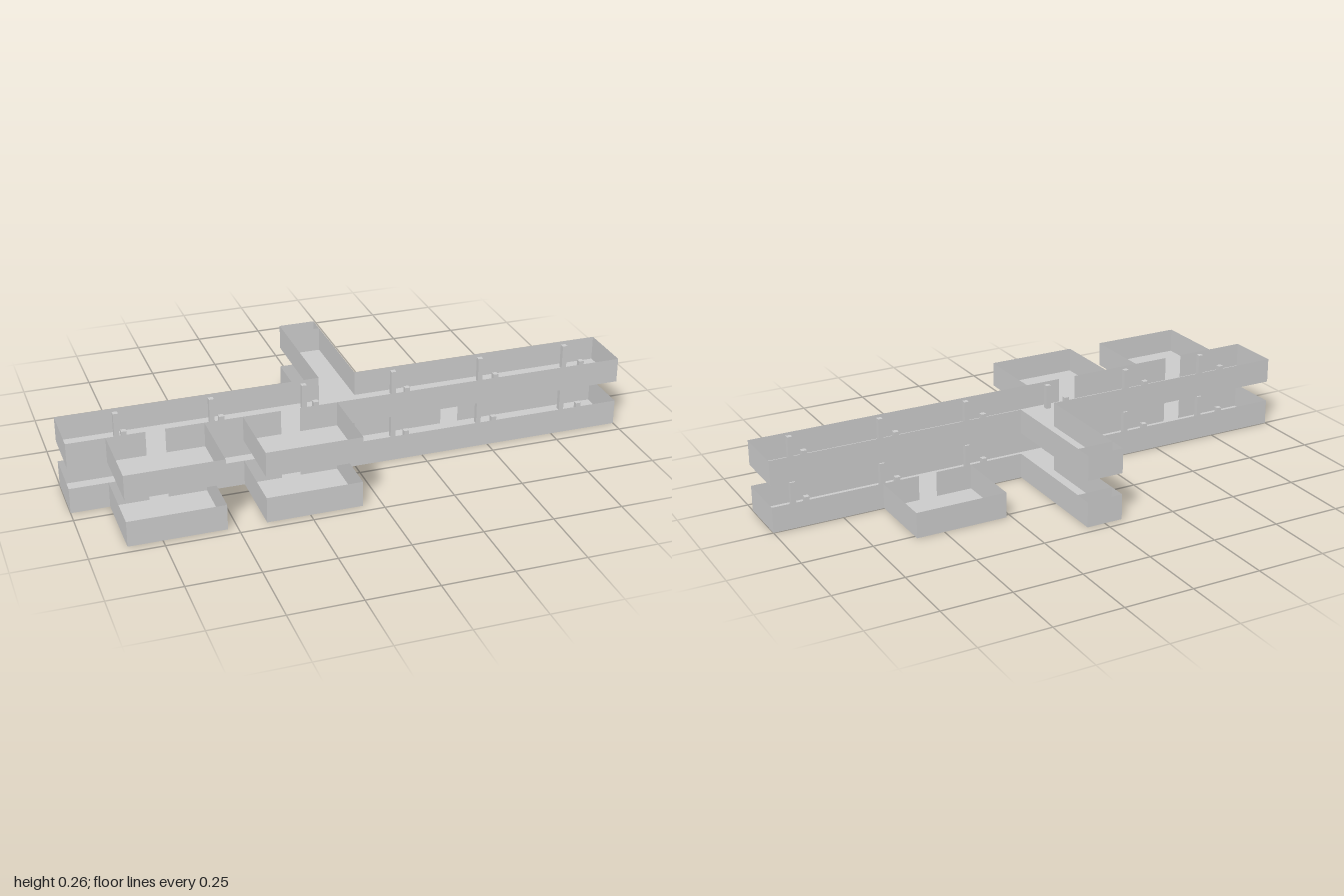
import * as THREE from 'three';

const U = 1 / 15; // plan grid unit
const concrete = new THREE.MeshStandardMaterial({ color: 0xcccccc, side: THREE.DoubleSide });
concrete.name = 'light grey concrete';

function add(group, name, geometry, x, y, z) {
  const mesh = new THREE.Mesh(geometry, concrete);
  mesh.name = name;
  mesh.position.set(x, y, z);
  group.add(mesh);
}

// Thin upright wall between two plan points given in grid units
function wall(group, name, x1, z1, x2, z2, height) {
  const length = Math.hypot(x2 - x1, z2 - z1) * U;
  const geometry = new THREE.PlaneGeometry(length, height);
  geometry.rotateY(-Math.atan2(z2 - z1, x2 - x1));
  add(group, name, geometry, (x1 + x2) / 2 * U, height / 2, (z1 + z2) / 2 * U);
}

// Thin floor over a plan rectangle given in grid units
function floor(group, name, x1, z1, x2, z2) {
  const geometry = new THREE.PlaneGeometry((x2 - x1) * U, (z2 - z1) * U).rotateX(-Math.PI / 2);
  add(group, name, geometry, (x1 + x2) / 2 * U, 0.001, (z1 + z2) / 2 * U);
}

// Side room, five units wide and four deep, with a doorway to the hall
function room(group, name, x, zHall, zFar, height) {
  floor(group, name + 'Floor', x, Math.min(zHall, zFar), x + 5, Math.max(zHall, zFar));
  wall(group, name + 'SideWall', x, zHall, x, zFar, height);
  wall(group, name + 'SideWall', x + 5, zHall, x + 5, zFar, height);
  wall(group, name + 'OuterWall', x, zFar, x + 5, zFar, height);
  wall(group, name + 'DoorWall', x, zHall, x + 2, zHall, height);
  wall(group, name + 'DoorWall', x + 3, zHall, x + 5, zHall, height);
}

function storey(name, height, hasBackRoom) {
  const g = new THREE.Group();
  g.name = name;

  // Long hall
  floor(g, 'hallFloor', -15, 0, 15, 3);
  for (const x of [-15, 15]) wall(g, 'hallEndWall', x, 0, x, 3, height);
  for (const [a, b] of [[-15, -13], [-8, -6], [-1, 15]]) wall(g, 'hallFrontWall', a, 3, b, 3, height);
  const backRuns = hasBackRoom ? [[-15, -1], [1, 4], [9, 15]] : [[-15, -1], [1, 15]];
  for (const [a, b] of backRuns) wall(g, 'hallBackWall', a, 0, b, 0, height);

  // Side rooms
  room(g, 'frontRoom', -13, 3, 7, height);
  room(g, 'frontRoom', -6, 3, 7, height);
  if (hasBackRoom) room(g, 'backRoom', 4, 0, -4, height);

  // Back corridor with an open shaft at its end
  floor(g, 'corridorFloor', -1, -6, 1, 0);
  for (const x of [-1, 1]) wall(g, 'corridorSideWall', x, 0, x, -7, height);
  wall(g, 'corridorEndWall', -1, -6, 1, -6, height);
  wall(g, 'shaftWall', -1, -7, 1, -7, height);

  // Two rows of pillars along the hall
  const pillar = new THREE.BoxGeometry(0.018, height, 0.018);
  for (let i = 0; i < 6; i++) {
    for (const z of [0.5, 2.5]) add(g, 'pillar', pillar, (-12 + 5 * i) * U, height / 2, z * U);
  }
  return g;
}

export function createModel() {
  const model = new THREE.Group();
  model.name = 'twoStoreyBuilding';
  const lower = storey('lowerStorey', 0.092, true);
  const upper = storey('upperStorey', 0.09, false);
  upper.position.y = 0.17;
  model.add(lower, upper);
  return model;
}
